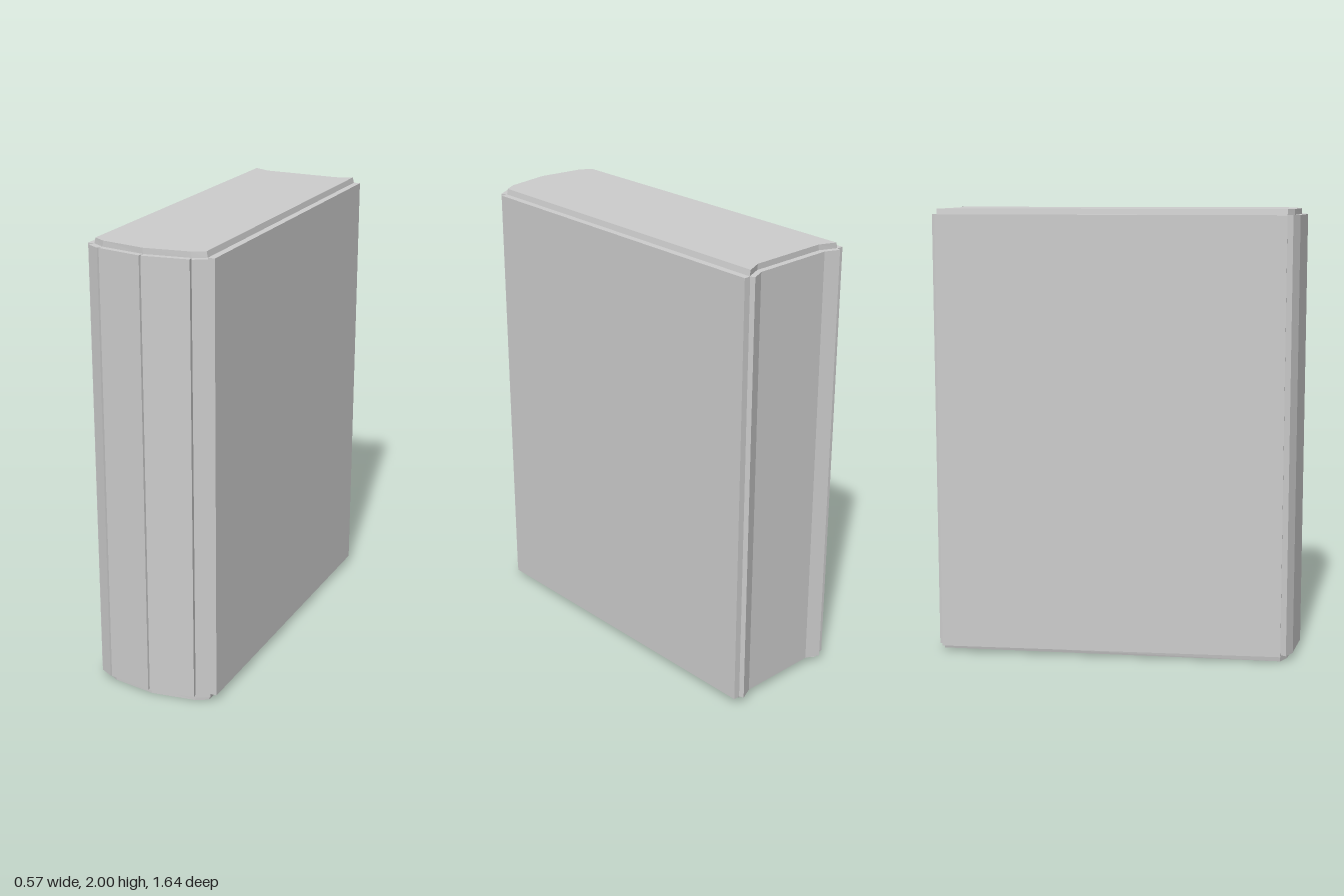
import * as THREE from 'three';

const material = new THREE.MeshStandardMaterial({ color: 0xcccccc, flatShading: true });

// Upright prism from a floor outline of [x, z] points, with an optional rule to move its vertices
function prism(name, outline, y0, y1, rule) {
  const shape = new THREE.Shape(outline.map(([x, z]) => new THREE.Vector2(x, -z)));
  const geometry = new THREE.ExtrudeGeometry(shape, { depth: y1 - y0, bevelEnabled: false });
  geometry.rotateX(-Math.PI / 2).translate(0, y0, 0);
  if (rule) {
    const p = geometry.attributes.position;
    const v = new THREE.Vector3();
    for (let i = 0; i < p.count; i++) {
      rule(v.fromBufferAttribute(p, i));
      p.setXYZ(i, v.x, v.y, v.z);
    }
    geometry.computeVertexNormals();
  }
  const mesh = new THREE.Mesh(geometry, material);
  mesh.name = name;
  return mesh;
}

const mirrorX = (points) => points.map(([x, z]) => [-x, z]);

export function createModel() {
  const book = new THREE.Group();
  book.name = 'book';
  const low = 0.03, high = 1.975;

  // Page block: rounded spine in front, hollow fore edge behind
  const half = [[0.255, 0.73], [0.2, 0.76], [0, 0.79]];
  const outline = [
    [0.255, -0.797], ...half,
    ...mirrorX(half.slice(0, 2)).reverse(),
    [-0.255, -0.797], [-0.18, -0.765], [0.18, -0.765],
  ];
  book.add(prism('pageBlock', outline, low, high));

  // Head panel, slightly tapered upward
  book.add(prism('headPanel', outline, high, 2, (v) => {
    if (v.y > 1.99) v.x *= 0.98;
  }));

  // Tail panel, sloping up toward the fore edge and lower along one side
  book.add(prism('tailPanel', outline, 0, low, (v) => {
    if (v.y > 0.01) return;
    if (v.z < 0) v.y = v.x < -0.22 ? 0.01 : 0.02;
    v.x *= 0.98;
  }));

  // Fore edge panel with flared corners
  const flare = [[0.18, -0.765], [0.255, -0.797], [0.247, -0.82], [0.185, -0.792]];
  book.add(prism('foreEdge', [...flare, ...mirrorX(flare).reverse()], low, high));

  // Cover boards and the four spine strips, mirrored left and right
  const cover = [[0.255, -0.8], [0.285, -0.8], [0.285, 0.73], [0.255, 0.73]];
  const outerStrip = [[0.255, 0.73], [0.268, 0.755], [0.212, 0.785], [0.2, 0.76]];
  const innerStrip = [[0.2, 0.76], [0.204, 0.785], [0.004, 0.817], [0, 0.79]];
  for (const [side, flip] of [['left', (p) => p], ['right', mirrorX]]) {
    book.add(prism(side + 'Cover', flip(cover), low, high));
    book.add(prism(side + 'OuterSpineStrip', flip(outerStrip), low, high));
    book.add(prism(side + 'InnerSpineStrip', flip(innerStrip), low, high));
  }
  return book;
}
